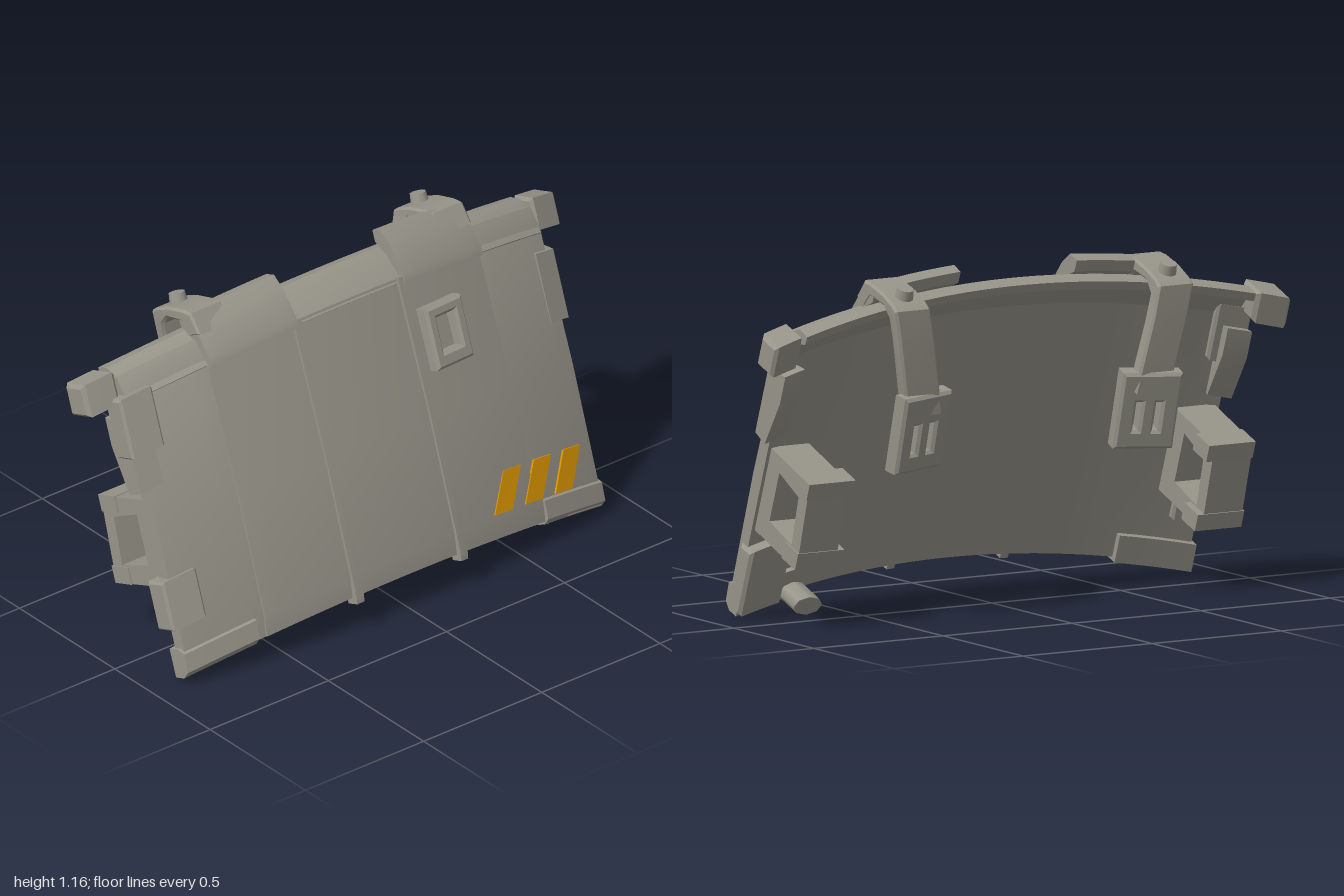
import * as THREE from 'three';
import { toCreasedNormals } from 'three/addons/utils/BufferGeometryUtils.js';

const grey = new THREE.MeshStandardMaterial({ color: 0x98958a });
grey.name = 'warmGrey';
const orange = new THREE.MeshStandardMaterial({ color: 0xd99400 });
orange.name = 'hazardOrange';

// Curved plate: x across, t up the plate, d outward from its front face
function bend(x, t, d) {
  const q = (x / 0.87) ** 2;
  return [x, t - 0.06 * q, 0.34 + d - 0.1 * q];
}

function mesh(name, geometry, material = grey) {
  const m = new THREE.Mesh(geometry, material);
  m.name = name;
  return m;
}

// Profile of [z, y] points extruded along x, with optional holes
function extrudeX(profile, x0, x1, steps = 1, holes = [], bevel = 0) {
  const toV = ([z, y]) => new THREE.Vector2(-z, y);
  const shape = new THREE.Shape(profile.map(toV));
  for (const h of holes) shape.holes.push(new THREE.Path(h.map(toV)));
  const g = new THREE.ExtrudeGeometry(shape, {
    depth: x1 - x0 - 2 * bevel, steps, bevelEnabled: bevel > 0,
    bevelSize: bevel, bevelThickness: bevel, bevelOffset: -bevel, bevelSegments: 1,
  });
  g.rotateY(Math.PI / 2);
  g.translate(x0 + bevel, 0, 0);
  return g;
}

// Moves every vertex by a rule
function warp(g, rule) {
  const p = g.attributes.position;
  for (let i = 0; i < p.count; i++) p.setXYZ(i, ...rule(p.getX(i), p.getY(i), p.getZ(i)));
  return toCreasedNormals(g, 0.45);
}

// Profile of [t, d] points swept across the curved plate
function sweep(name, profile, x0, x1, { material = grey, shear = 0, bevel = 0 } = {}) {
  const steps = Math.max(1, Math.round((x1 - x0) / 0.06));
  const g = extrudeX(profile.map(([t, d]) => [d, t]), x0, x1, steps, [], bevel);
  return mesh(name, warp(g, (x, t, d) => bend(x + shear * t, t, d)), material);
}

const rect = (t0, t1, d0, d1) => [[t0, d0], [t0, d1], [t1, d1], [t1, d0]];

// Flat rectangular frame, lying in x/y and thick in z
function frame(name, w, h, depth, slots) {
  const box = (x0, x1, y0, y1) => [[x0, y0], [x1, y0], [x1, y1], [x0, y1]].map(([x, y]) => new THREE.Vector2(x, y));
  const s = new THREE.Shape(box(-w / 2 + 0.01, w / 2 - 0.01, -h / 2 + 0.01, h / 2 - 0.01));
  for (const k of slots) s.holes.push(new THREE.Path(box(...k)));
  const g = new THREE.ExtrudeGeometry(s, {
    depth: depth - 0.02, bevelSize: 0.01, bevelThickness: 0.01, bevelSegments: 1,
  });
  g.translate(0, 0, 0.01 - depth / 2);
  return mesh(name, g);
}

export function createModel() {
  const root = new THREE.Group();
  root.name = 'curvedArmourPlate';
  const plate = new THREE.Group();
  plate.name = 'plate';
  plate.rotation.x = -0.349;
  root.add(plate);

  // Main shell, slightly bulged, with a bevelled lower lip
  const shell = (d) => [[0.016, -0.05], [0.016, d - 0.01], [0.09, d + 0.004], [0.5, d + 0.012], [0.98, d]];
  plate.add(sweep('mainPanel', [...shell(0), [0.98, -0.05]], -0.575, 0.575));

  // Top flange folding backwards
  plate.add(sweep('topFlange', [[0.94, -0.045], [0.965, 0.004], [1.055, -0.052],
    [1.078, -0.086], [1.075, -0.135], [1.045, -0.132], [1.025, -0.085]], -0.87, 0.87));

  for (const s of [-1, 1]) {
    const span = (name, profile, a, b, opt) => plate.add(
      sweep(name, profile, s > 0 ? a : -b, s > 0 ? b : -a, opt));

    span('sidePanel', [...shell(-0.006), [1.05, -0.036], [1.05, -0.06], [0.98, -0.05]], 0.57, 0.875);
    span('rib', [[-0.005, -0.04], [-0.005, 0.008], [0.02, 0.014], [0.5, 0.022], [0.985, 0.014], [0.985, -0.04]], 0.205, 0.235);

    // Folded cover where each strap passes over the top
    span('strapCover', [[0.955, -0.01], [0.958, 0.02], [0.99, 0.02], [1.09, -0.02],
      [1.138, -0.055], [1.136, -0.1], [1.095, -0.1], [1.05, -0.05]], 0.225, 0.575);

    // Ear blocks, edge rails and lower corners
    span('ear', rect(0.965, 1.077, -0.13, -0.028), 0.88, 1.0, { bevel: 0.012 });
    span('edgeRail', [[0.65, -0.06], [0.66, 0.006], [0.9, 0.006], [0.92, -0.1], [0.82, -0.1]], 0.82, 0.905);
    span('lowerCorner', [[0.004, -0.07], [0.004, -0.025], [0.025, 0.004], [0.09, 0.008], [0.105, -0.02], [0.105, -0.07]], 0.61, 0.883);

    // Side handle standing off the back face
    const handle = mesh('sideHandle', extrudeX(
      [[0.2, 0.25], [0.2, 0.555], [-0.04, 0.55], [-0.065, 0.535], [-0.085, 0.26], [-0.065, 0.245]],
      -0.075, 0.075, 1,
      [[[0.12, 0.32], [-0.03, 0.31], [-0.015, 0.48], [0.12, 0.5]]]));
    handle.position.x = s * 0.785;
    plate.add(handle);
    for (const [t, n] of [[0.275, -0.04], [0.525, -0.025]]) {
      const tab = mesh('handleTab', new THREE.BoxGeometry(0.18, 0.06, 0.09));
      tab.position.set(s * 0.775, t, n);
      plate.add(tab);
    }

    // Strap arching over the top and hanging behind, drifting inwards
    const strap = mesh('strap', warp(extrudeX([
      [-0.08, 1.08], [-0.13, 1.14], [-0.17, 1.135], [-0.25, 1.11], [-0.31, 1.08], [-0.333, 1.06],
      [-0.327, 0.95], [-0.295, 0.7], [-0.24, 0.7], [-0.275, 0.95], [-0.28, 1.03],
      [-0.25, 1.07], [-0.17, 1.09], [-0.13, 1.05]], -0.068, 0.068, 1, [], 0.008),
    (x, y, z) => [x - s * 0.2 * Math.max(0, 1.05 - y), y, z]));
    strap.position.x = s * 0.51;
    root.add(strap);

    const knob = mesh('strapKnob', new THREE.CylinderGeometry(0.028, 0.034, 0.05, 10));
    knob.position.set(s * 0.51, 1.104, -0.275);
    knob.rotation.x = -0.35;
    root.add(knob);

    // Two-slot buckle at the strap end
    const buckle = frame('buckle', 0.21, 0.27, 0.065,
      [[-0.055, -0.015, -0.08, 0.04], [0.015, 0.055, -0.08, 0.04]]);
    buckle.position.set(s * 0.44, 0.645, -0.25);
    buckle.rotation.set(-0.26, s * 0.2, 0);
    root.add(buckle);
  }

  // Clips on the right edge
  plate.add(sweep('upperClip', rect(0.78, 0.99, -0.07, 0.016), -0.912, -0.79, { bevel: 0.008 }));
  plate.add(sweep('lowerClip', rect(0.18, 0.35, -0.07, 0.016), -0.908, -0.78, { bevel: 0.008 }));

  // Deep corner block and round peg on the left
  plate.add(sweep('cornerBlock', rect(0.01, 0.25, -0.09, -0.012), 0.7, 0.885, { bevel: 0.012 }));
  const peg = mesh('peg', new THREE.CylinderGeometry(0.055, 0.055, 0.12, 8));
  peg.rotation.x = Math.PI / 2;
  peg.scale.z = 0.6;
  peg.position.set(0.65, -0.008, 0.165);
  plate.add(peg);

  // Raised square frame on the front
  const port = frame('portFrame', 0.165, 0.215, 0.06, [[-0.05, 0.05, -0.065, 0.075]]);
  port.position.set(...bend(0.34, 0.755, 0.02));
  port.rotation.y = 0.09;
  plate.add(port);

  // Slanted warning stripes
  for (const x of [0.325, 0.465, 0.605]) {
    plate.add(sweep('warningStripe', rect(0.1, 0.235, 0.001, 0.01), x, x + 0.08,
      { material: orange, shear: 0.58 }));
  }

  return root;
}
